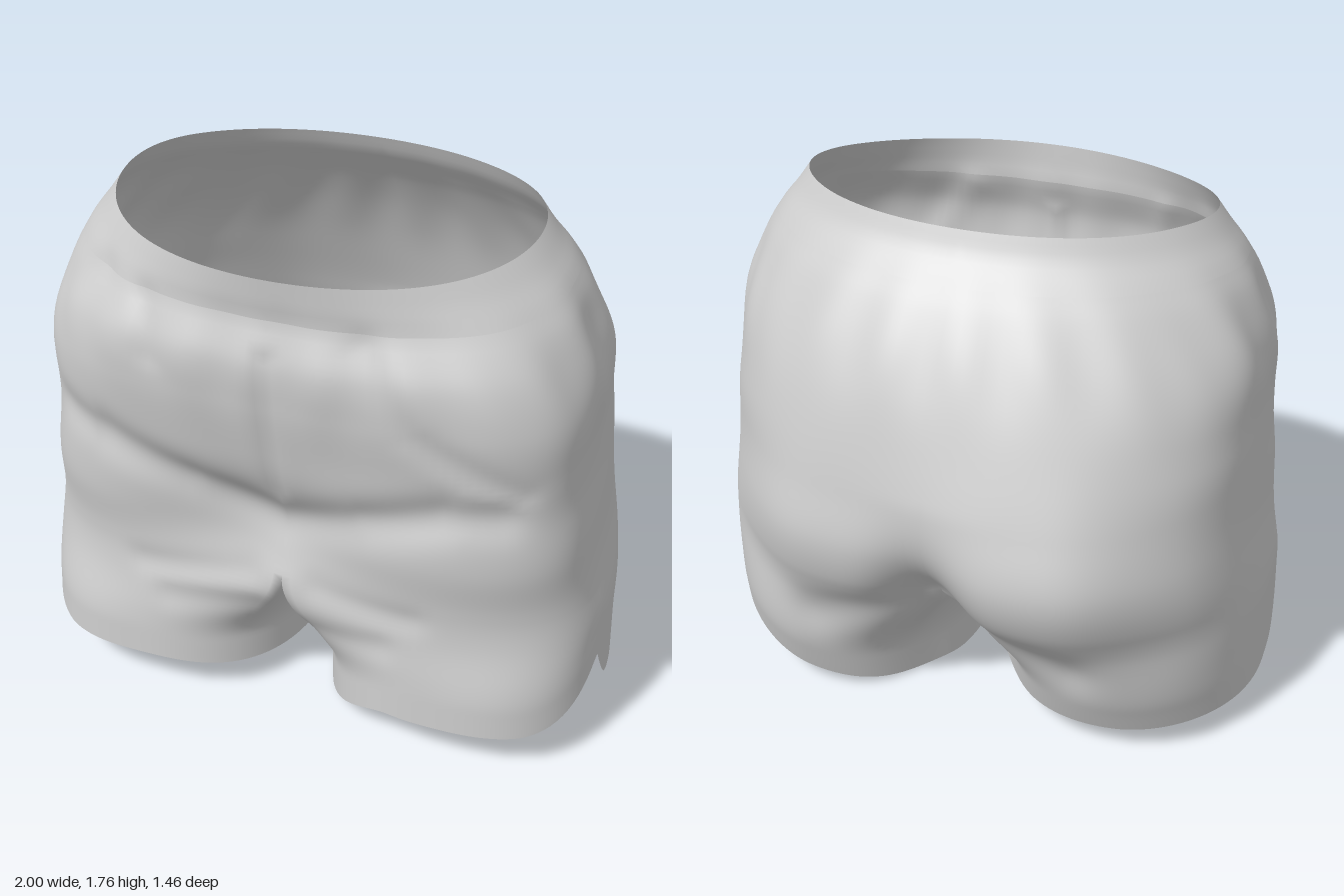
import * as THREE from 'three';
import { mergeVertices } from 'three/addons/utils/BufferGeometryUtils.js';

const { lerp, clamp } = THREE.MathUtils;
const WAIST = 1.75, CROTCH = 0.57, HEM = 0.12;
const BAND_ROWS = 7, TORSO_ROWS = 56, LEG_ROWS = 26, COLS = 96, INNER_COLS = 32;

// Smooth step that also works downwards (a > b), and a bell curve
const ss = (a, b, v) => { const t = clamp((v - a) / (b - a), 0, 1); return t * t * (3 - 2 * t); };
const bell = (v, c, w) => Math.exp(-(((v - c) / w) ** 2));

// Cross-sections by height: height, half width, front z, back z, front squareness
const sections = [
  [0.12, 1.00, 0.68, -0.45, 3.2],
  [0.30, 0.995, 0.67, -0.52, 3.2],
  [0.45, 0.99, 0.66, -0.595, 3.2],
  [0.60, 0.97, 0.665, -0.68, 3.3],
  [0.76, 0.95, 0.685, -0.715, 3.5],
  [0.95, 0.925, 0.685, -0.67, 3.6],
  [1.10, 0.925, 0.69, -0.62, 3.6],
  [1.30, 0.91, 0.715, -0.54, 3.3],
  [1.45, 0.87, 0.72, -0.46, 2.9],
  [1.60, 0.805, 0.68, -0.355, 2.4],
  [1.68, 0.74, 0.685, -0.285, 2.15],
  [1.75, 0.69, 0.69, -0.25, 2.0],
];
const curve = new THREE.CubicInterpolant(
  sections.map(s => s[0]), sections.flatMap(s => s.slice(1)), 4, new Float32Array(4));
const section = h => { const [w, zf, zb, n] = curve.evaluate(clamp(h, HEM, WAIST)); return { w, zf, zb, n }; };

// Point on a rounded box outline: a = 0 is the front, a = PI / 2 the outer side
function outline(a, cx, cz, rx, rf, rb, nf, nb) {
  const s = Math.sin(a), c = Math.cos(a), n = c > 0 ? nf : nb;
  const r = (Math.abs(s) ** n + Math.abs(c) ** n) ** (-1 / n);
  return [cx + rx * s * r, cz + (c > 0 ? rf : rb) * c * r];
}

// The hips are turned a little: widest further forward on the left than the right
const widestZ = (side, h) => lerp(0.13 + 0.08 * side, 0.2, ss(1.2, 1.7, h));

function torsoPoint(t, h, side) {
  const { w, zf, zb, n } = section(h), cz = widestZ(side, h);
  return outline(t, 0, cz, w, zf - cz, cz - zb, n, lerp(2.3, 2.05, ss(1.1, 1.7, h)));
}

function legPoint(a, h, side) {
  const { w, zf, zb } = section(h), cx = (w + 0.05) / 2, outer = Math.sin(a) > 0;
  const cz = outer ? widestZ(side, h) : 0.12;
  const back = outer ? 1.95 - 0.1 * side : 2.1;
  return outline(a, cx, cz, w - cx, zf - cz, cz - zb, outer ? 2.7 : 2.4, back);
}

// Waist edge rises to the back
const waistY = z => lerp(1.76, 1.68, ss(-0.05, 0.72, z));

// Hem edge with a side slit; the left leg dips lower at the inside
function hemY(x, z, side) {
  const front = side > 0 ? 0.02 + 0.13 * ss(0.05, 0.4, x) : 0.1 + 0.05 * ss(0, 0.5, x);
  const back = side > 0 ? 0.16 * ss(0.05, 1.05, x) : 0.1 + 0.02 * ss(0.6, 1, x);
  const d = z - 0.33;
  const slit = (side > 0 ? 0.18 : 0.14) * Math.max(0, 1 - (d > 0 ? d / 0.3 : -d / 0.14)) ** 1.5;
  return lerp(back, front, ss(-0.2, 0.5, z)) + slit * ss(0.7, 0.85, x);
}

// Creases: x1, y1, x2, y2, width, depth
const frontCreases = [
  [-0.78, 1.02, -0.6, 0.99, 0.07, 0.025], [-0.6, 0.99, -0.3, 0.88, 0.08, 0.035],
  [-0.3, 0.88, 0, 0.77, 0.08, 0.03],
  [0.72, 0.97, 0.55, 0.96, 0.07, 0.025], [0.55, 0.96, 0.3, 0.88, 0.08, 0.035],
  [0.3, 0.88, 0, 0.77, 0.08, 0.03],
  [0, 1.42, 0, 0.85, 0.03, 0.014],
  [0.3, 1.5, 0.45, 1.25, 0.05, 0.013], [0.45, 1.25, 0.78, 1.05, 0.05, 0.013],
  [-0.42, 1.52, -0.4, 1.35, 0.04, 0.01], [-0.85, 1.42, -0.6, 1.55, 0.05, 0.014],
  [-0.5, 0.51, -0.12, 0.55, 0.05, 0.012], [-0.4, 0.4, -0.1, 0.42, 0.05, 0.01],
  [0.12, 0.55, 0.45, 0.53, 0.05, 0.012], [0.08, 0.36, 0.35, 0.4, 0.05, 0.01],
];
const backCreases = [
  [0, 0.56, 0.45, 0.38, 0.1, 0.03], [0, 0.56, -0.45, 0.38, 0.1, 0.035],
];
// Depth of the strongest crease nearby
function creaseDepth(list, x, y) {
  return Math.max(...list.map(([x1, y1, x2, y2, w, depth]) => {
    const dx = x2 - x1, dy = y2 - y1;
    const k = clamp(((x - x1) * dx + (y - y1) * dy) / (dx * dx + dy * dy), 0, 1);
    return depth * bell(Math.hypot(x - x1 - k * dx, y - y1 - k * dy), 0, w);
  }));
}

// Folds, hollow front, seat cleft, gathers and waistband seam
function shapeCloth(x, y, z, h) {
  const front = ss(0.35, 0.58, z), back = ss(-0.05, -0.4, z);
  const angle = Math.atan2(x, z - 0.17), side = ss(0.5, 0.85, Math.abs(x));
  const gathers = bell(h, 1.42, 0.16) * (0.006 * Math.sin(angle * 17 + 2 * y)
    + 0.007 * side * Math.sin(angle * 23 + 9 * y)) - 0.003 * bell(h, 1.6, 0.03);
  const sway = side * 0.006 * Math.sin(y * 15 + 3 * z) * bell(y, 1, 0.5);
  let nz = z + Math.cos(angle) * gathers;
  nz -= front * (creaseDepth(frontCreases, x, y) + 0.11 * bell(x, -0.1, 0.36) * bell(y, 0.74, 0.2));
  nz += back * (bell(y, 0.75, 0.4) * (0.045 * Math.tanh(x / 0.2) - 0.03 * bell(Math.abs(x), 0.52, 0.17))
    + 0.14 * bell(x, 0, 0.16) * ss(1.0, 0.55, y) + creaseDepth(backCreases, x, y));
  return [x + Math.sin(angle) * gathers + Math.sign(x) * sway, y, nz];
}

// Outer cloth at column u (front centre to back centre) and row
function outerPoint(u, row, side) {
  const t = u * Math.PI, a = -Math.PI / 4 + t * 1.5;
  let x, z, y, h;
  if (row <= TORSO_ROWS) {
    h = lerp(WAIST, CROTCH, row / TORSO_ROWS);
    [x, z] = torsoPoint(t, h, side);
    y = lerp(waistY(torsoPoint(t, WAIST, side)[1]), CROTCH, row / TORSO_ROWS);
  } else {
    const k = (row - TORSO_ROWS) / LEG_ROWS;
    h = lerp(CROTCH, HEM, k);
    const p = torsoPoint(t, h, side), q = legPoint(a, h, side), w = ss(CROTCH, 0.22, h);
    x = lerp(p[0], q[0], w);
    z = lerp(p[1], q[1], w);
    y = lerp(CROTCH, hemY(...legPoint(a, HEM, side), side), k);
  }
  return shapeCloth(side * (u === 0 || u === 1 ? Math.max(0, x) : x), y, z, h);
}

// Inner leg cloth from the back edge round to the front edge, hung from the crotch seam
function innerPoint(u, row, side) {
  const k = row / LEG_ROWS, h = lerp(CROTCH, HEM, k), { zf, zb } = section(h);
  const a = Math.PI * (1.25 + 0.5 * u);
  const q = legPoint(a, h, side), w = ss(CROTCH, 0.22, h);
  const seamY = CROTCH - 0.05 * Math.sin(Math.PI * u);
  const y = lerp(seamY, hemY(...legPoint(a, HEM, side), side), k);
  return shapeCloth(side * q[0] * w, y, lerp(lerp(zb, zf, u), q[1], w), h);
}

// Adds a grid of quads to the lists, facing outwards on either side
function addPanel(out, point, cols, row0, row1, side) {
  const base = out.positions.length / 3, n = cols + 1;
  for (let r = row0; r <= row1; r++)
    for (let c = 0; c <= cols; c++) out.positions.push(...point(c / cols, r, side));
  for (let r = 0; r < row1 - row0; r++)
    for (let c = 0; c < cols; c++) {
      const i = base + r * n + c, j = i + n;
      if (side > 0) out.indices.push(i, j, i + 1, i + 1, j, j + 1);
      else out.indices.push(i, i + 1, j, i + 1, j + 1, j);
    }
}

function clothMesh(name, material, addPanels) {
  const out = { positions: [], indices: [] };
  for (const side of [1, -1]) addPanels(out, side);
  let geometry = new THREE.BufferGeometry();
  geometry.setAttribute('position', new THREE.Float32BufferAttribute(out.positions, 3));
  geometry.setIndex(out.indices);
  geometry = mergeVertices(geometry, 1e-4);
  geometry.computeVertexNormals();
  const mesh = new THREE.Mesh(geometry, material);
  mesh.name = name;
  return mesh;
}

export function createModel() {
  const cloth = new THREE.MeshStandardMaterial({ color: 0xcccccc, side: THREE.DoubleSide });
  cloth.name = 'grey cloth';
  const model = new THREE.Group();
  model.name = 'shorts';
  model.add(
    clothMesh('waistband', cloth, (out, side) => addPanel(out, outerPoint, COLS, 0, BAND_ROWS, side)),
    clothMesh('seatAndLegs', cloth, (out, side) => {
      addPanel(out, outerPoint, COLS, BAND_ROWS, TORSO_ROWS + LEG_ROWS, side);
      addPanel(out, innerPoint, INNER_COLS, 0, LEG_ROWS, side);
    }),
  );
  return model;
}
